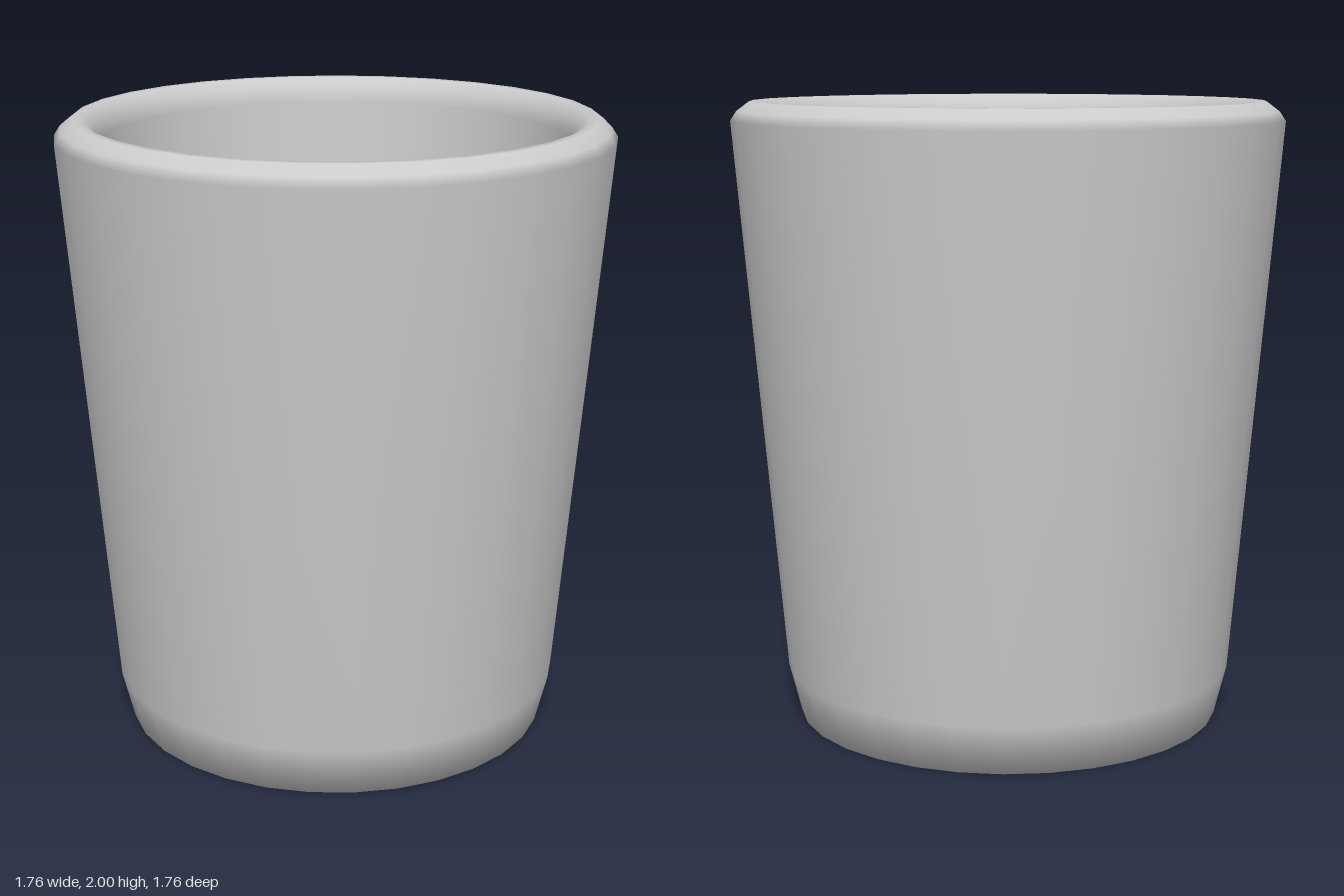
import * as THREE from 'three';

export function createModel() {
  const group = new THREE.Group();
  group.name = 'cup';

  // One closed profile [radius, height]: base, outer wall, rounded rim, inner wall, floor
  const profile = [
    [0, 0], [0.69, 0], [0.73, 0.16],
    [0.88, 1.94], [0.86, 1.97], [0.82, 2], [0.79, 2], [0.76, 1.97], [0.74, 1.92],
    [0.62, 0.24], [0.58, 0.16], [0, 0.14],
  ].map(([r, y]) => new THREE.Vector2(r, y));

  const body = new THREE.Mesh(
    new THREE.LatheGeometry(profile, 31),
    new THREE.MeshStandardMaterial({ color: 0xcccccc })
  );
  body.name = 'cupBody';
  group.add(body);
  return group;
}
